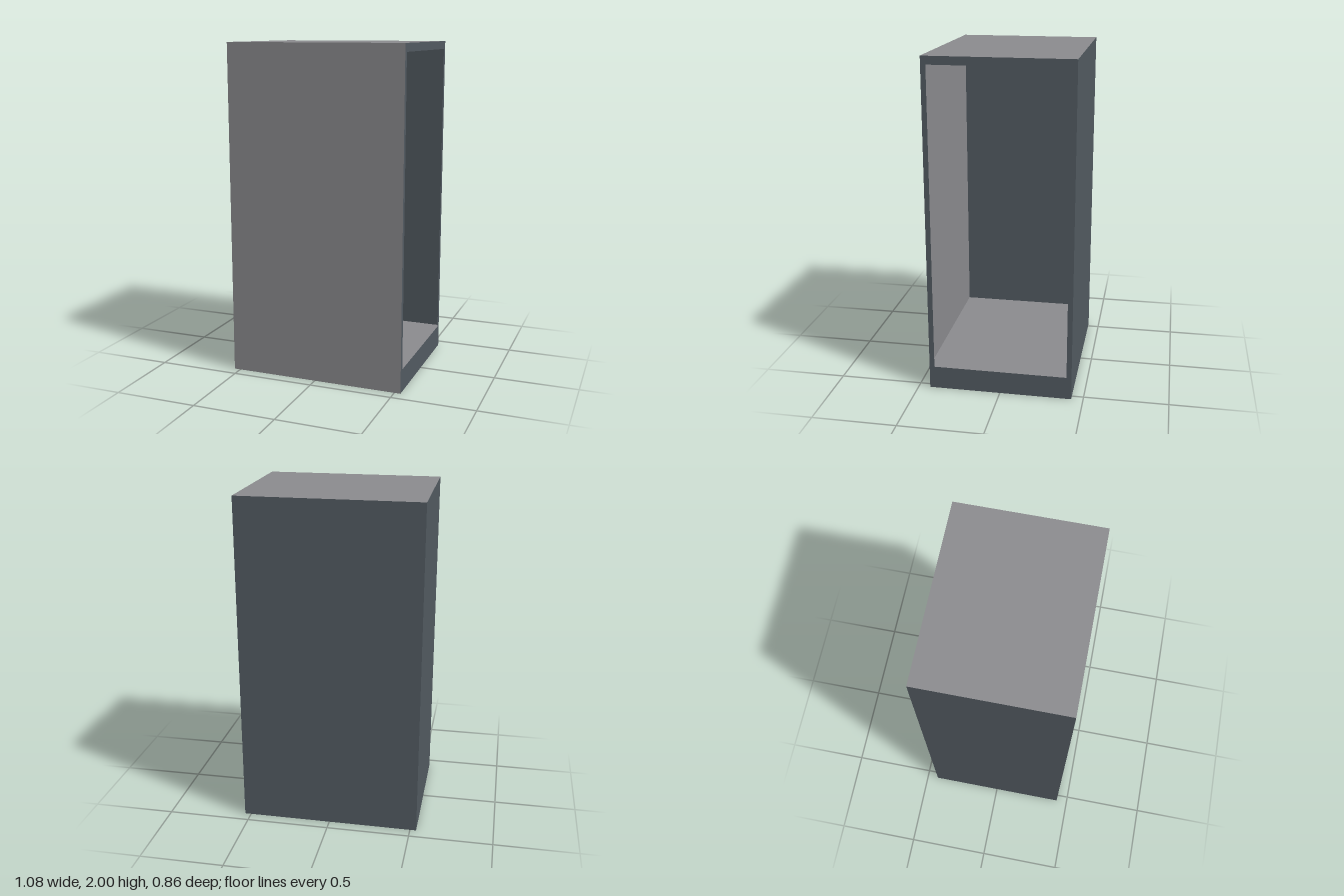
import * as THREE from 'three';

const W = 1.076, D = 0.86, H = 2;          // overall size
const BASE = 0.138, TOP = 0.048, RIM = 0.03; // plinth height, lid height, rim width

export function createModel() {
  const material = (name, color, side = THREE.FrontSide) => {
    const m = new THREE.MeshStandardMaterial({ color, side });
    m.name = name;
    return m;
  };
  const grey = material('grey', 0x8b8b8e, THREE.DoubleSide);
  const slate = material('slate', 0x525a61, THREE.DoubleSide);
  const dark = material('darkUnderside', 0x2a3537);

  const model = new THREE.Group();
  model.name = 'openCabinet';

  const add = (name, geometry, mat, x, y, z, turn = 0) => {
    const mesh = new THREE.Mesh(geometry, mat);
    mesh.name = name;
    mesh.position.set(x, y, z);
    mesh.rotation.y = turn;
    model.add(mesh);
  };

  // Plinth and lid: slate sides, grey top and front, dark underside
  const slabSides = [slate, slate, grey, dark, grey, slate];
  add('base', new THREE.BoxGeometry(W, BASE, D), slabSides, 0, BASE / 2, 0);
  add('lid', new THREE.BoxGeometry(W, TOP, D), slabSides, 0, H - TOP / 2, 0);

  // Three sheet walls; the +x side stays open
  const wallH = H - BASE - TOP;
  const wallY = BASE + wallH / 2;
  const wide = new THREE.PlaneGeometry(W, wallH);
  add('frontWall', wide, grey, 0, wallY, D / 2);
  add('backWall', wide, slate, 0, wallY, -D / 2, Math.PI);
  add('sideWall', new THREE.PlaneGeometry(D, wallH), slate, -W / 2, wallY, 0, -Math.PI / 2);

  // Narrow upright rims on both sides of the opening
  const rim = new THREE.PlaneGeometry(RIM, wallH);
  for (const s of [1, -1]) {
    add(s > 0 ? 'frontRim' : 'backRim', rim, slate, W / 2, wallY, s * (D - RIM) / 2, Math.PI / 2);
  }

  return model;
}
